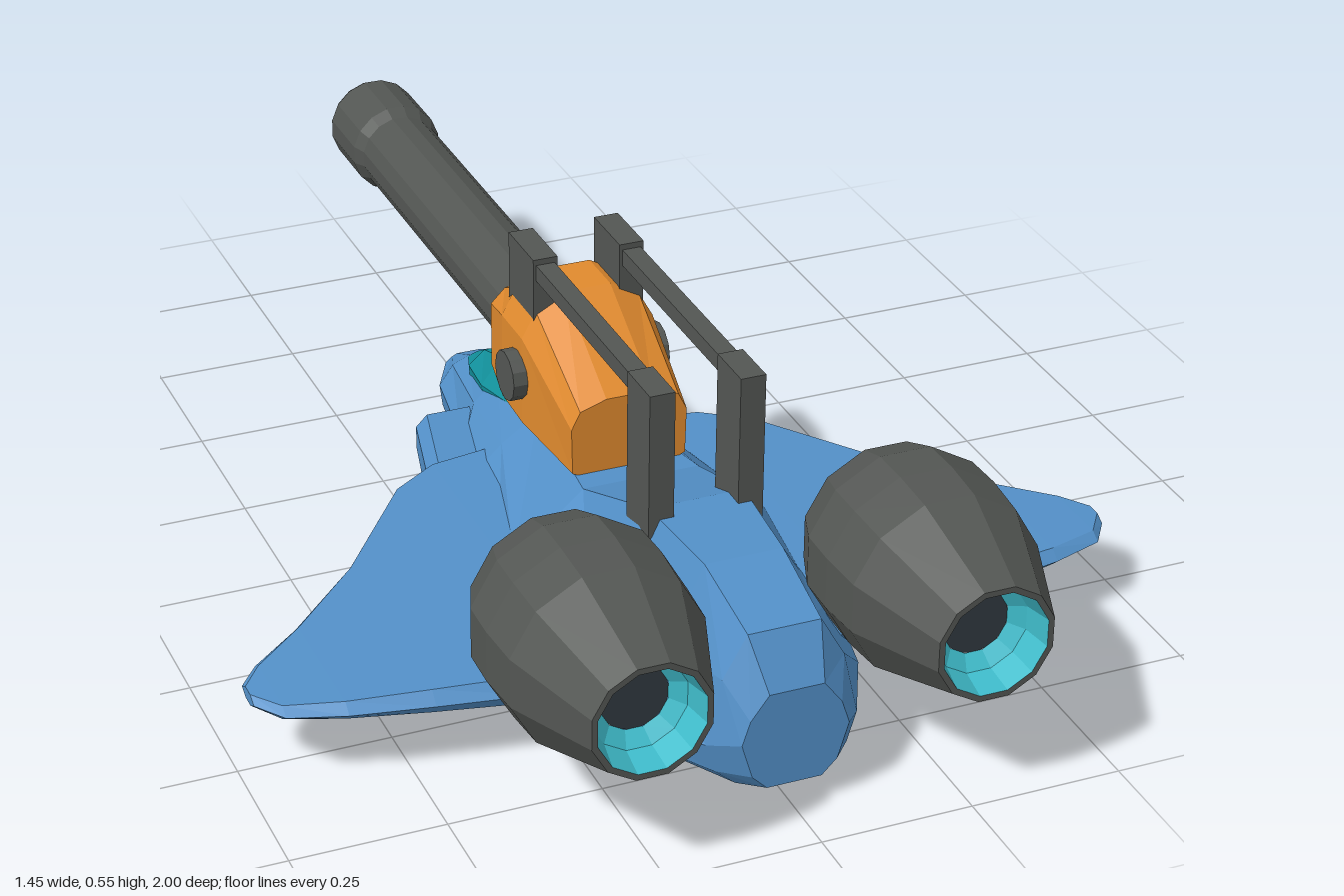
import * as THREE from 'three';

const mat = (name, color, extra = {}) =>
  Object.assign(new THREE.MeshStandardMaterial({ color, flatShading: true, ...extra }), { name });

// Skin between rings of [x, y, z]; rings run counter-clockwise seen from the last end
function loft(rings, { from = 0, to = rings[0].length, caps = true } = {}) {
  const pos = [];
  const tri = (...p) => p.forEach((v) => pos.push(...v));
  const n = rings[0].length;
  for (let i = 0; i < rings.length - 1; i++) {
    for (let j = from; j < to; j++) {
      const k = (j + 1) % n;
      const [a, b, c, d] = [rings[i][j], rings[i][k], rings[i + 1][k], rings[i + 1][j]];
      tri(a, b, c);
      tri(a, c, d);
    }
  }
  if (caps) {
    const first = rings[0], last = rings[rings.length - 1];
    for (let j = 1; j < n - 1; j++) {
      tri(first[0], first[j + 1], first[j]);
      tri(last[0], last[j], last[j + 1]);
    }
  }
  const g = new THREE.BufferGeometry();
  g.setAttribute('position', new THREE.Float32BufferAttribute(pos, 3));
  g.computeVertexNormals();
  return g;
}

// Full ring from the right half of a section, bottom to top
const symmetric = (z, half) => {
  const right = half.map(([x, y]) => [x, y, z]);
  const left = half.map(([x, y]) => [-x, y, z]).reverse();
  return [left[left.length - 1], ...right, ...left.slice(0, -1)];
};
const mirrored = (rings) => rings.map((r) => r.map(([x, y, z]) => [-x, y, z]).reverse());

// Lathe about the z axis from [radius, z] pairs
const latheZ = (profile, sides) =>
  new THREE.LatheGeometry(profile.map(([r, z]) => new THREE.Vector2(r, z)), sides, Math.PI / sides)
    .rotateX(Math.PI / 2).scale(1, 1, 1);

export function createModel() {
  const model = new THREE.Group();
  model.name = 'cannonFighter';
  const blue = mat('hullBlue', 0x5390c8);
  const grey = mat('gunmetal', 0x535653);
  const orange = mat('turretOrange', 0xe08a2e);
  const cyan = mat('engineCyan', 0x3fbccb, { side: THREE.DoubleSide });
  const teal = mat('canopyTeal', 0x12919c);
  const dark = mat('innerDark', 0x30393f);

  const add = (name, geometry, material, x = 0, y = 0, z = 0, parent = model) => {
    const m = new THREE.Mesh(geometry, material);
    m.name = name;
    m.position.set(x, y, z);
    parent.add(m);
    return m;
  };

  // Hull: belly edge, two chine points, shoulder and spine edge at each station
  const hull = [
    [-0.5, [[0.02, 0.035], [0.04, 0.045], [0.042, 0.065], [0.03, 0.075], [0.02, 0.08]]],
    [-0.4, [[0.05, 0.015], [0.085, 0.04], [0.09, 0.08], [0.065, 0.115], [0.035, 0.13]]],
    [-0.2, [[0.09, 0.006], [0.12, 0.04], [0.125, 0.09], [0.1, 0.15], [0.055, 0.19]]],
    [0, [[0.115, 0], [0.2, 0.035], [0.22, 0.09], [0.125, 0.18], [0.06, 0.225]]],
    [0.3, [[0.13, 0], [0.243, 0.035], [0.25, 0.09], [0.22, 0.145], [0.1, 0.25]]],
    [0.52, [[0.13, 0.008], [0.23, 0.04], [0.24, 0.09], [0.18, 0.16], [0.08, 0.33]]],
    [0.7, [[0.11, 0.015], [0.19, 0.05], [0.2, 0.09], [0.125, 0.2], [0.065, 0.328]]],
    [0.85, [[0.075, 0.03], [0.11, 0.06], [0.125, 0.11], [0.1, 0.22], [0.06, 0.29]]],
    [0.9, [[0.045, 0.045], [0.07, 0.07], [0.088, 0.13], [0.075, 0.17], [0.045, 0.21]]],
  ].map(([z, half]) => symmetric(z, half));
  add('hull', loft(hull, { from: 1 }), blue);
  add('bellyPanel', loft(hull, { to: 1, caps: false }), grey);

  // Canopy
  const canopy = [
    [-0.4, [[0.03, 0.1], [0.036, 0.128], [0.018, 0.134]]],
    [-0.32, [[0.06, 0.1], [0.064, 0.155], [0.035, 0.18]]],
    [-0.21, [[0.07, 0.1], [0.082, 0.175], [0.045, 0.222]]],
    [-0.1, [[0.06, 0.1], [0.075, 0.195], [0.045, 0.226]]],
  ].map(([z, half]) => symmetric(z, half));
  add('canopy', loft(canopy), teal);

  // Wing stations: x, leading z, trailing z, lower y, upper y
  const wing = [
    [0.1, -0.06, 0.67, 0.092, 0.155], [0.24, -0.04, 0.665, 0.096, 0.153],
    [0.32, 0.01, 0.65, 0.1, 0.15], [0.47, 0.21, 0.625, 0.105, 0.146],
    [0.6, 0.34, 0.6, 0.11, 0.141], [0.69, 0.415, 0.57, 0.113, 0.137],
    [0.725, 0.46, 0.52, 0.115, 0.135],
  ].map(([x, lead, trail, lo, hi]) => {
    const mid = (lo + hi) / 2, e = 0.018;
    return [[trail, mid], [trail - e, lo], [lead + e, lo], [lead, mid], [lead + e, hi], [trail - e, hi]]
      .map(([z, y]) => [x, y, z]);
  });

  // Side air intake boxes
  const intake = [
    [-0.215, 0.09, 0.2, 0.055, 0.135],
    [-0.04, 0.09, 0.243, 0.045, 0.142],
    [0.12, 0.09, 0.25, 0.05, 0.145],
  ].map(([z, x0, x1, y0, y1]) =>
    [[x0, y0], [x1 - 0.02, y0], [x1, y0 + 0.02], [x1, y1 - 0.02], [x1 - 0.02, y1], [x0, y1]]
      .map(([x, y]) => [x, y, z]));

  for (const [side, s] of [['left', 1], ['right', -1]]) {
    const sided = (rings) => loft(s > 0 ? rings : mirrored(rings));
    add(side + 'Wing', sided(wing), blue);
    add(side + 'Intake', sided(intake), blue);
    add(side + 'IntakeOpening', new THREE.BoxGeometry(0.055, 0.05, 0.006), dark, s * 0.156, 0.095, -0.216);

    // Engine pod, open at both ends
    const engine = new THREE.Group();
    engine.name = side + 'Engine';
    engine.position.set(s * 0.275, 0.282, 0);
    model.add(engine);
    add('enginePod', latheZ([[0.088, 0.613], [0.138, 0.613], [0.164, 0.68], [0.166, 0.75],
      [0.16, 0.83], [0.098, 1], [0.088, 1]], 12), grey, 0, 0, 0, engine);
    add('exhaustRing', latheZ([[0.088, 1], [0.078, 0.95], [0.055, 0.93]], 12), cyan, 0, 0, 0, engine);
    add('inletRing', latheZ([[0.088, 0.613], [0.078, 0.67], [0.055, 0.69]], 12), cyan, 0, 0, 0, engine);
    add('engineCore', new THREE.CylinderGeometry(0.056, 0.056, 0.24, 12).rotateX(Math.PI / 2),
      dark, 0, 0, 0.81, engine);

    // Rail carried on two posts
    add(side + 'RailFrontPost', new THREE.BoxGeometry(0.042, 0.12, 0.11), grey, s * 0.075, 0.491, 0.02);
    add(side + 'RailRearPost', new THREE.BoxGeometry(0.042, 0.26, 0.088), grey, s * 0.075, 0.418, 0.513);
    add(side + 'Rail', new THREE.BoxGeometry(0.032, 0.028, 0.59), grey, s * 0.075, 0.527, 0.25);

    // Turret pivot
    add(side + 'Pivot', new THREE.CylinderGeometry(0.043, 0.043, 0.035, 12).rotateZ(Math.PI / 2),
      grey, s * 0.12, 0.337, 0.05);
  }

  // Turret housing
  const turret = [
    [-0.11, [[0.07, 0.245], [0.1, 0.27], [0.1, 0.385], [0.075, 0.41], [0.03, 0.418]]],
    [-0.02, [[0.08, 0.225], [0.115, 0.26], [0.115, 0.41], [0.09, 0.455], [0.04, 0.482]]],
    [0.07, [[0.08, 0.22], [0.115, 0.255], [0.115, 0.41], [0.09, 0.455], [0.04, 0.482]]],
    [0.25, [[0.075, 0.24], [0.098, 0.25], [0.1, 0.33], [0.085, 0.36], [0.04, 0.375]]],
  ].map(([z, half]) => symmetric(z, half));
  add('turret', loft(turret), orange);

  // Cannon barrel with a thicker hollow muzzle
  add('cannonBarrel', latheZ([[0.055, -0.99], [0.072, -0.9], [0.072, -0.08]], 16), grey, 0, 0.322, 0);
  add('cannonMuzzle', latheZ([[0.056, -0.86], [0.056, -1], [0.078, -1], [0.083, -0.99], [0.083, -0.865],
    [0.071, -0.84]], 16), grey, 0, 0.322, 0);
  add('cannonBore', new THREE.CylinderGeometry(0.057, 0.057, 0.006, 16).rotateX(Math.PI / 2),
    dark, 0, 0.322, -0.93);
  return model;
}
